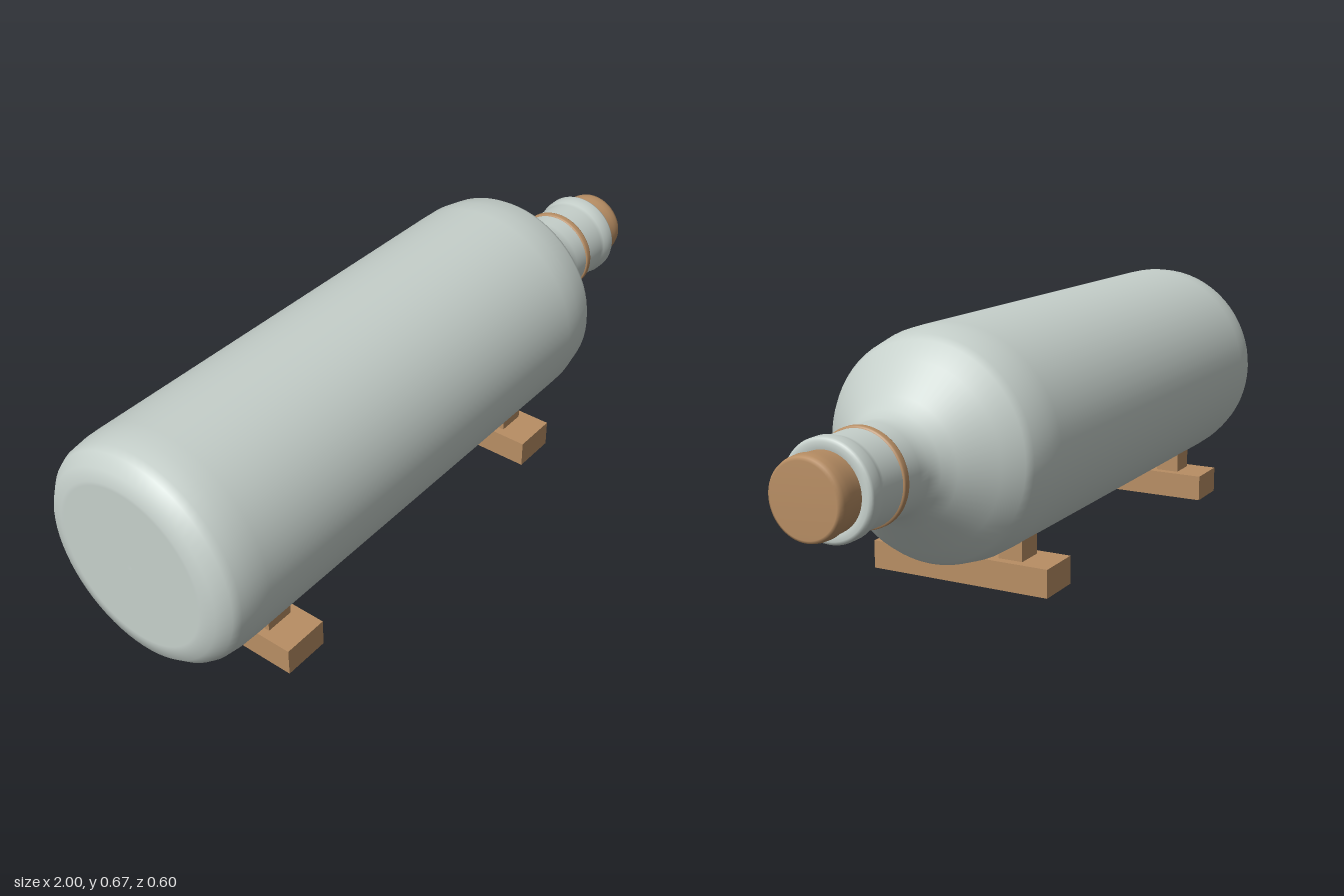
import * as THREE from 'three';

const AXIS_Y = 0.374;

export function createModel() {
  const model = new THREE.Group();
  const glass = new THREE.MeshStandardMaterial({ color: 0xc6d0cb, side: THREE.DoubleSide });
  glass.name = 'paleGlass';
  const wood = new THREE.MeshStandardMaterial({ color: 0xb88e64 });
  wood.name = 'wood';

  // Turned part lying along x; profile points are [x, radius]
  function turned(name, profile, material) {
    const points = profile.map(([x, r]) => new THREE.Vector2(r, x));
    const geometry = new THREE.LatheGeometry(points, 64);
    geometry.rotateZ(-Math.PI / 2);
    const mesh = new THREE.Mesh(geometry, material);
    mesh.name = name;
    mesh.position.y = AXIS_Y;
    model.add(mesh);
  }

  // Bottle: pierced flat base, rounded heel, long body, shoulder, neck and lip
  turned('bottle', [
    [-1, 0.007], [-1, 0.215], [-1, 0.225], [-0.992, 0.258], [-0.965, 0.284],
    [-0.945, 0.293], [-0.9, 0.299], [-0.86, 0.3], [0.38, 0.3], [0.43, 0.299],
    [0.495, 0.287], [0.515, 0.275], [0.56, 0.235], [0.63, 0.16], [0.66, 0.134],
    [0.687, 0.119], [0.72, 0.117], [0.86, 0.115], [0.872, 0.117], [0.885, 0.122],
    [0.91, 0.122], [0.917, 0.119], [0.92, 0.112], [0.92, 0.1], [0.917, 0.09],
  ], glass);

  // Cork stopper, slightly waisted
  turned('cork', [
    [0.9, 0.093], [0.922, 0.095], [0.945, 0.096], [0.965, 0.099], [0.985, 0.098],
    [0.996, 0.095], [1, 0.088], [1, 0],
  ], wood);

  // Band around the neck
  turned('neckRing', [
    [0.769, 0.113], [0.77, 0.119], [0.774, 0.121], [0.786, 0.121], [0.79, 0.119], [0.791, 0.113],
  ], wood);

  // Two cradles: a cross beam with a pair of chocks
  for (const x of [-0.706, 0.306]) {
    const cradle = new THREE.Group();
    cradle.name = 'cradle';
    cradle.position.x = x;
    const beam = new THREE.Mesh(new THREE.BoxGeometry(0.128, 0.075, 0.512), wood);
    beam.name = 'beam';
    beam.position.y = 0.0375;
    cradle.add(beam);
    for (const side of [-1, 1]) {
      const chock = new THREE.Mesh(new THREE.BoxGeometry(0.08, 0.055, 0.068), wood);
      chock.name = 'chock';
      chock.position.set(0, 0.1025, side * 0.139);
      cradle.add(chock);
    }
    model.add(cradle);
  }
  return model;
}
